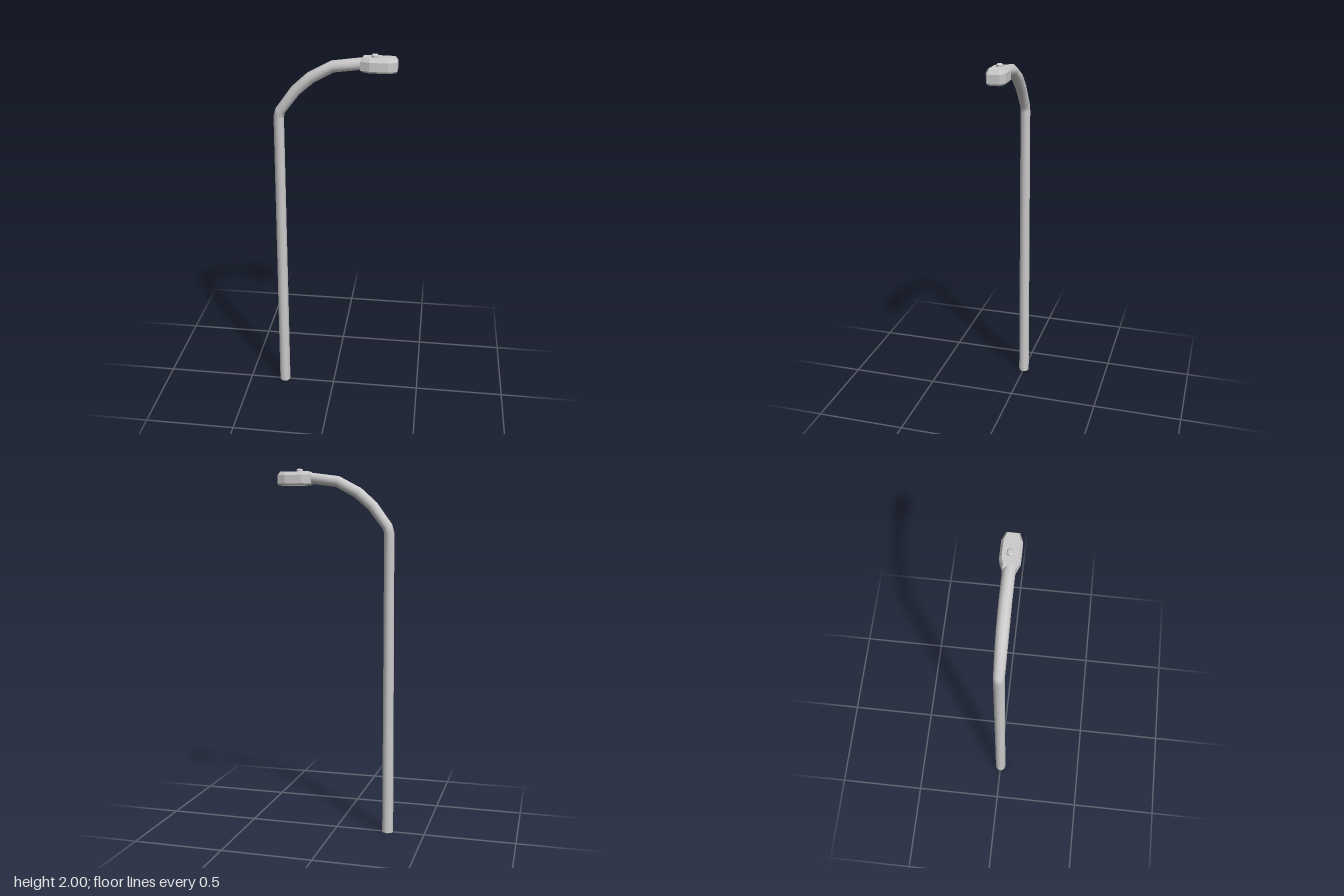
import * as THREE from 'three';

const grey = new THREE.MeshStandardMaterial({ color: 0xcccccc });
const greyFlat = new THREE.MeshStandardMaterial({ color: 0xcccccc, flatShading: true });

// Skin a stack of rings (equal point counts) and close both ends with flat caps
function loft(name, rings, material) {
  const n = rings[0].length, last = rings.length - 1;
  const pos = [], index = [];
  rings.forEach((ring) => ring.forEach((p) => pos.push(...p)));
  for (let i = 0; i < last; i++) {
    for (let j = 0; j < n; j++) {
      const k = (j + 1) % n;
      const a = i * n + j, b = i * n + k, c = a + n, d = b + n;
      index.push(a, b, d, a, d, c);
    }
  }
  for (const [ring, up] of [[rings[0], false], [rings[last], true]]) {
    const s = pos.length / 3;
    ring.forEach((p) => pos.push(...p));
    for (let j = 1; j < n - 1; j++) {
      if (up) index.push(s, s + j, s + j + 1);
      else index.push(s, s + j + 1, s + j);
    }
  }
  const geo = new THREE.BufferGeometry();
  geo.setAttribute('position', new THREE.Float32BufferAttribute(pos, 3));
  geo.setIndex(index);
  geo.computeVertexNormals();
  const mesh = new THREE.Mesh(geo, material);
  mesh.name = name;
  return mesh;
}

// Ten-sided ring whose axis leans from vertical towards +x by tilt degrees
function poleRing([x, y, r, tilt]) {
  const t = THREE.MathUtils.degToRad(tilt);
  return Array.from({ length: 10 }, (_, j) => {
    const a = ((j + 0.5) / 10) * Math.PI * 2;
    const u = Math.cos(a) * r;
    return [x - Math.cos(t) * u, y + Math.sin(t) * u, Math.sin(a) * r];
  });
}

// Eight-cornered lamp outline at height y: tapered at both ends
function headRing(y, x0, w0, x1, w, x2, x3, w3) {
  const side = [[x0, w0], [x1, w], [x2, w], [x3, w3]];
  return [
    ...side.map(([x, z]) => [x, y, z]),
    ...side.reverse().map(([x, z]) => [x, y, -z]),
  ];
}

export function createModel() {
  const model = new THREE.Group();
  model.name = 'streetLamp';

  // Tapered upright and curved arm: x, y, radius, tilt
  const path = [
    [-0.295, 0, 0.031, 0],
    [-0.288, 1.655, 0.028, 12],
    [-0.279, 1.69, 0.028, 30],
    [-0.196, 1.80, 0.03, 41],
    [-0.116, 1.87, 0.031, 54],
    [-0.003, 1.93, 0.031, 73],
    [0.155, 1.951, 0.031, 86],
  ];
  model.add(loft('poleAndArm', path.map(poleRing), grey));

  // Lamp head, from the recessed lens face round the rim to the bevelled top
  const head = new THREE.Group();
  head.name = 'lampHead';
  head.add(loft('housing', [
    headRing(1.924, 0.165, 0.02, 0.19, 0.034, 0.274, 0.307, 0.02),
    headRing(1.912, 0.16, 0.023, 0.188, 0.038, 0.276, 0.311, 0.023),
    headRing(1.912, 0.15, 0.027, 0.186, 0.045, 0.277, 0.317, 0.028),
    headRing(1.921, 0.138, 0.031, 0.185, 0.05, 0.278, 0.324, 0.032),
    headRing(1.966, 0.138, 0.031, 0.185, 0.05, 0.278, 0.324, 0.032),
    headRing(1.985, 0.15, 0.027, 0.185, 0.038, 0.278, 0.312, 0.025),
  ], greyFlat));

  // Small sensor cap on top
  const base = new THREE.Mesh(new THREE.CylinderGeometry(0.018, 0.018, 0.012, 8), greyFlat);
  base.position.set(0.208, 1.988, 0);
  const top = new THREE.Mesh(new THREE.CylinderGeometry(0.012, 0.018, 0.006, 8), greyFlat);
  top.position.set(0.208, 1.997, 0);
  base.name = 'sensorBase';
  top.name = 'sensorTop';
  for (const part of [base, top]) {
    part.rotation.y = Math.PI / 8;
    head.add(part);
  }
  model.add(head);
  return model;
}
